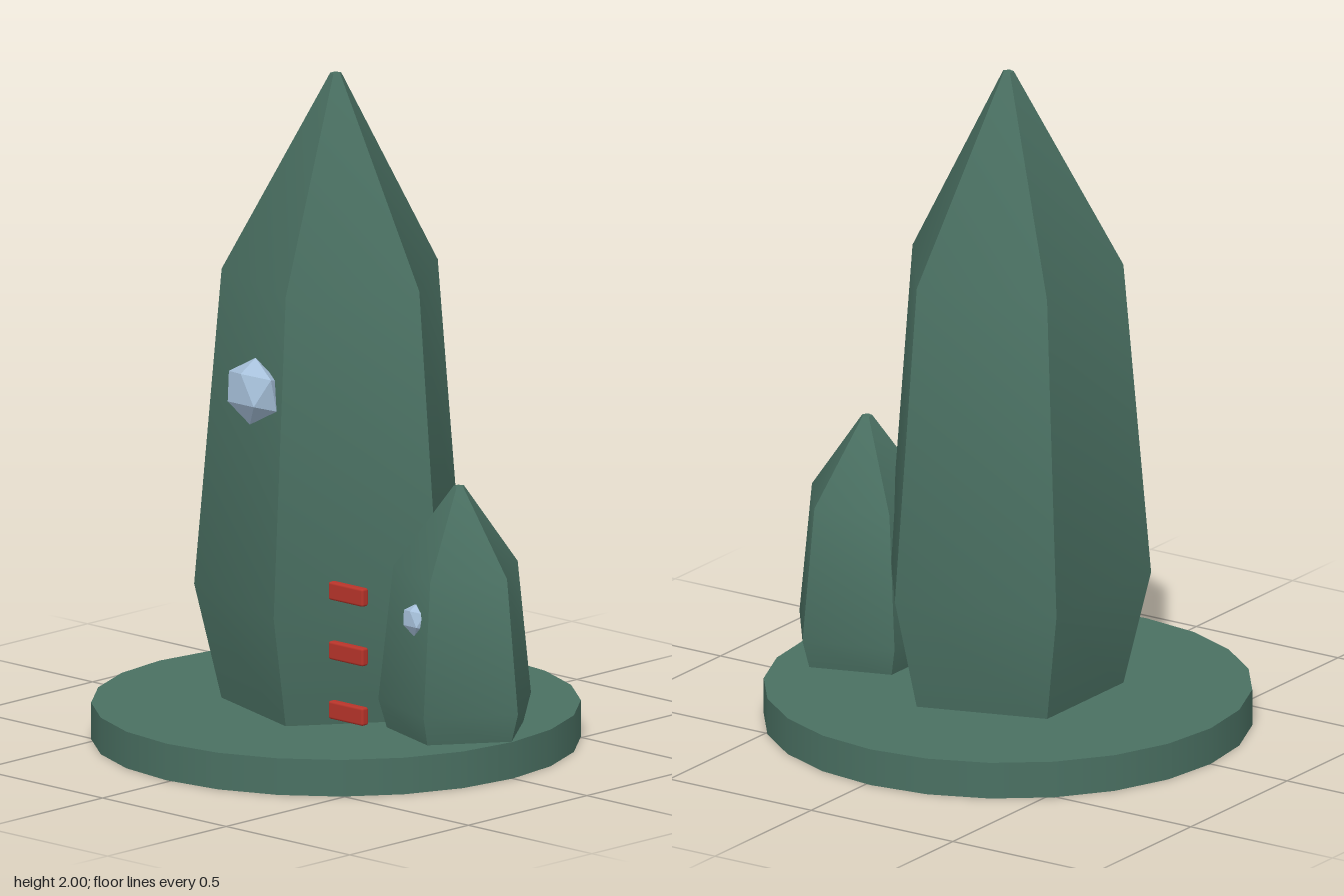
import * as THREE from 'three';
import { toCreasedNormals } from 'three/addons/utils/BufferGeometryUtils.js';
import { RoundedBoxGeometry } from 'three/addons/geometries/RoundedBoxGeometry.js';

export function createModel() {
  const material = (name, color, flatShading = false) => {
    const m = new THREE.MeshStandardMaterial({ color, flatShading });
    m.name = name;
    return m;
  };
  const green = material('darkGreen', 0x4a7062);
  const blue = material('paleBlue', 0xa6c0da, true);
  const red = material('red', 0xb8342a);

  const model = new THREE.Group();
  model.name = 'crystalTowers';
  const add = (name, geometry, mat, x, y, z) => {
    const mesh = new THREE.Mesh(geometry, mat);
    mesh.name = name;
    mesh.position.set(x, y, z);
    model.add(mesh);
    return mesh;
  };

  // Round plinth
  add('base', new THREE.CylinderGeometry(0.715, 0.715, 0.11, 24), green, -0.015, 0.055, 0);

  // Five-sided crystals: sharp upright edges, one corner toward +x
  const crystal = (profile) => {
    const points = profile.map(([r, y]) => new THREE.Vector2(r, y));
    const lathe = new THREE.LatheGeometry(points, 5, Math.PI / 2);
    return toCreasedNormals(lathe, 0.7);
  };
  add('mainCrystal', crystal([
    [0, 0.1], [0.335, 0.1], [0.418, 0.45], [0.337, 1.4], [0.017, 2], [0, 2],
  ]), green, -0.015, 0, 0);
  add('smallCrystal', crystal([
    [0, 0.1], [0.21, 0.1], [0.238, 0.195], [0.194, 0.595], [0.016, 0.843], [0, 0.843],
  ]), green, 0.483, 0, 0);

  // Faceted gems, flattened in depth with a triangular facet facing forward
  const gem = (radius) => new THREE.IcosahedronGeometry(radius, 0)
    .rotateX(Math.atan2(0.934, 0.357))
    .rotateZ(Math.PI)
    .scale(1, 1, 0.64);
  add('largeGem', gem(0.1), blue, -0.015, 1.105, 0.351);
  add('smallGem', gem(0.05), blue, 0.471, 0.468, 0.17);

  // Floating red rungs
  [0.218, 0.397, 0.576].forEach((y, i) => {
    add(`rung${i + 1}`, new RoundedBoxGeometry(0.14, 0.054, 0.027, 2, 0.007), red, 0.411, y, 0.392);
  });

  return model;
}
